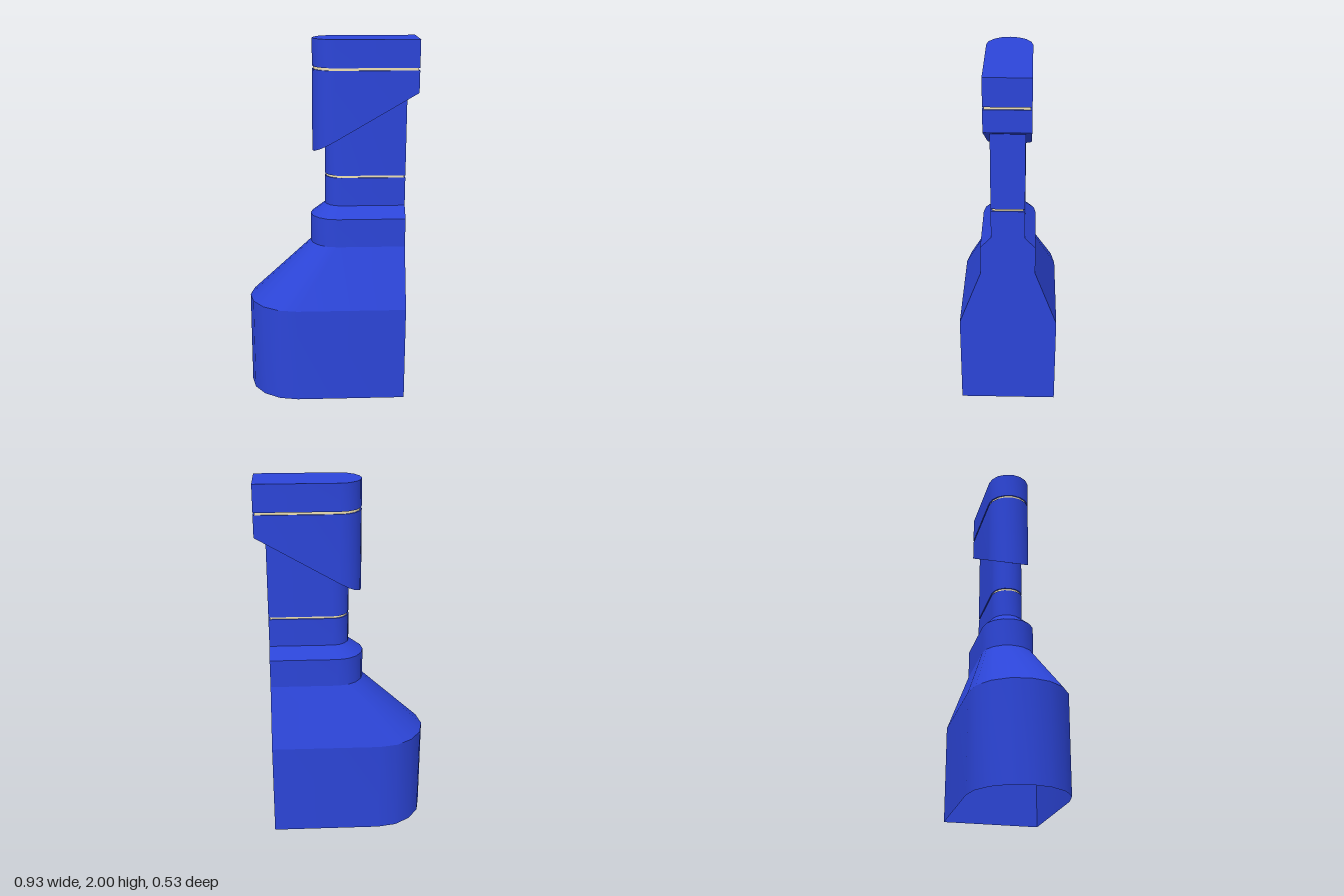
import * as THREE from 'three';
import { mergeGeometries, toCreasedNormals } from 'three/addons/utils/BufferGeometryUtils.js';

const ARC = 8; // sides of the rounded end

// D-shaped section: rounded at x0, flat at x1, half width r; y may be a function of x
function ring(x0, x1, r, y) {
  const at = (x, z) => new THREE.Vector3(x, typeof y === 'function' ? y(x) : y, z);
  const points = [at(x1, r)];
  for (let i = 0; i <= ARC; i++) {
    const a = (Math.PI * i) / ARC;
    points.push(at(x0 + r - Math.sin(a) * r, Math.cos(a) * r));
  }
  points.push(at(x1, -r));
  return points;
}

function fromTriangles(points) {
  const g = new THREE.BufferGeometry().setFromPoints(points);
  return toCreasedNormals(g, 0.5);
}

// Skin between two sections
function band(low, high) {
  const tris = [];
  low.forEach((a, i) => {
    const j = (i + 1) % low.length;
    tris.push(a, high[i], high[j], a, high[j], low[j]);
  });
  return fromTriangles(tris);
}

function cap(points, up) {
  const tris = [];
  for (let i = 1; i < points.length - 1; i++) {
    if (up) tris.push(points[0], points[i + 1], points[i]);
    else tris.push(points[0], points[i], points[i + 1]);
  }
  return fromTriangles(tris);
}

// Stack of sections with a sharp edge at each level
function loft(name, rings, material, capBottom = true) {
  const parts = rings.slice(1).map((high, i) => band(rings[i], high));
  if (capBottom) parts.push(cap(rings[0], false));
  parts.push(cap(rings[rings.length - 1], true));
  const mesh = new THREE.Mesh(mergeGeometries(parts), material);
  mesh.name = name;
  return mesh;
}

export function createModel() {
  const group = new THREE.Group();
  group.name = 'nozzleTower';
  const blue = new THREE.MeshStandardMaterial({ color: 0x2c45d8, side: THREE.DoubleSide });
  const cream = new THREE.MeshStandardMaterial({ color: 0xf0e2b4 });

  const base = (y) => ring(-0.466, 0.403, 0.266, y);
  const collar = (y) => ring(-0.115, 0.403, 0.145, y);
  const neck = (y) => ring(-0.035, 0.403, 0.088, y);
  const head = (y) => ring(-0.104, 0.463, 0.119, y);
  const slant = (x) => 1.39 + ((x + 0.104) / 0.567) * 0.33;

  // Hollow base, open underneath, tapering through the collar to the neck
  group.add(loft('body', [base(0), base(0.54), collar(0.87), collar(1.03), neck(1.092), neck(1.25)], blue, false));
  group.add(loft('neck', [neck(1.263), neck(1.72)], blue));

  // Head with slanted underside, and its lid
  group.add(loft('head', [head(slant), head(1.838)], blue));
  group.add(loft('lid', [head(1.852), head(2)], blue));

  // Thin recessed seams
  group.add(loft('neckSeam', [ring(-0.028, 0.396, 0.081, 1.245), ring(-0.028, 0.396, 0.081, 1.268)], cream));
  group.add(loft('headSeam', [ring(-0.097, 0.456, 0.112, 1.833), ring(-0.097, 0.456, 0.112, 1.857)], cream));
  return group;
}
